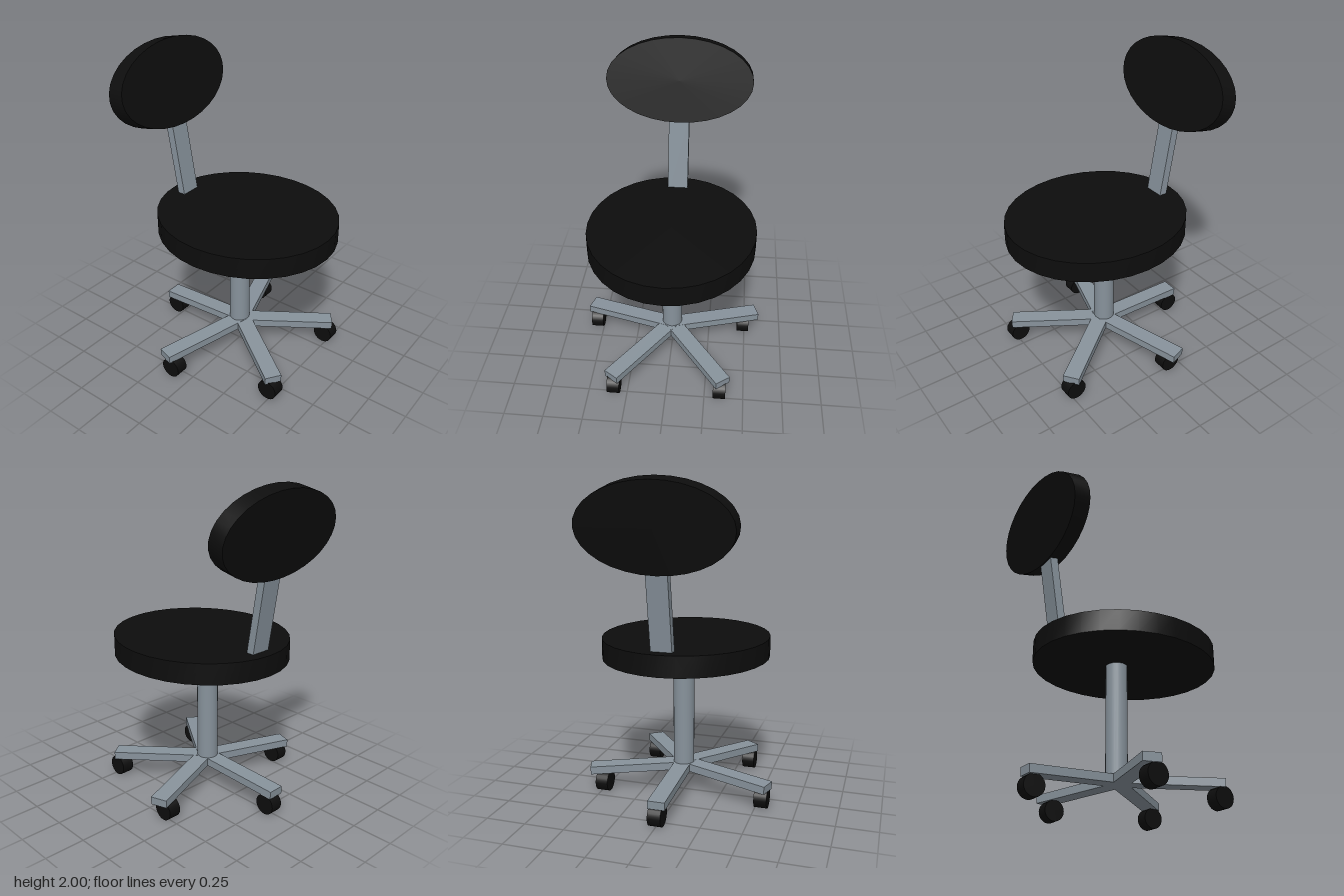
import * as THREE from 'three';
import { toCreasedNormals } from 'three/addons/utils/BufferGeometryUtils.js';

const metal = new THREE.MeshStandardMaterial({ color: 0x87929b });
const black = new THREE.MeshStandardMaterial({ color: 0x0d0d0d });

export function createModel() {
  const chair = new THREE.Group();
  chair.name = 'swivelChair';

  function add(name, geometry, material, x, y, z, parent = chair) {
    const mesh = new THREE.Mesh(geometry, material);
    mesh.name = name;
    mesh.position.set(x, y, z);
    parent.add(mesh);
    return mesh;
  }

  // Elliptical pad: flat disc lying in xz, stretched to its two radii
  function pad(rx, rz, thickness) {
    const disc = new THREE.CylinderGeometry(1, 1, thickness, 32);
    disc.rotateY(Math.PI / 2);
    disc.scale(rx, 1, rz);
    return toCreasedNormals(disc, 0.6);
  }

  // Seat and central column
  add('seat', pad(0.58, 0.525, 0.13), black, 0.06, 0.955, 0);
  add('column', new THREE.CylinderGeometry(0.066, 0.066, 0.74, 24), metal, 0.002, 0.54, 0);

  // Backrest leans away from the seat, which faces +x
  const backrest = pad(0.264, 0.46, 0.105);
  backrest.rotateZ(Math.PI / 2);
  add('backrest', backrest, black, -0.533, 1.733, 0).rotation.z = 0.216;

  // Flat bar joining seat and backrest
  add('backPost', new THREE.BoxGeometry(0.05, 0.56, 0.13), metal, -0.455, 1.235, 0).rotation.z = 0.162;

  // Five-armed base, each arm sloping down to its tip
  const base = new THREE.Group();
  base.name = 'base';
  base.position.set(0.02, 0, 0);
  chair.add(base);
  const armLength = 0.608;
  for (let i = 0; i < 5; i++) {
    const arm = new THREE.BoxGeometry(armLength, 0.05, 0.105);
    arm.translate(armLength / 2, 0, 0);
    arm.rotateZ(-0.045);
    arm.rotateY(Math.PI + 0.017 + (i * 2 * Math.PI) / 5);
    add('baseArm', arm, metal, 0, 0.173, 0, base);
  }

  // Casters all roll the same way, axles along z
  const wheel = new THREE.CylinderGeometry(0.065, 0.065, 0.08, 24);
  wheel.rotateX(Math.PI / 2);
  const spots = [[-0.54, 0], [-0.12, 0.538], [0.488, 0.335], [0.477, -0.345], [-0.158, -0.487]];
  for (const [x, z] of spots) add('caster', wheel, black, x, 0.065, z);

  return chair;
}
